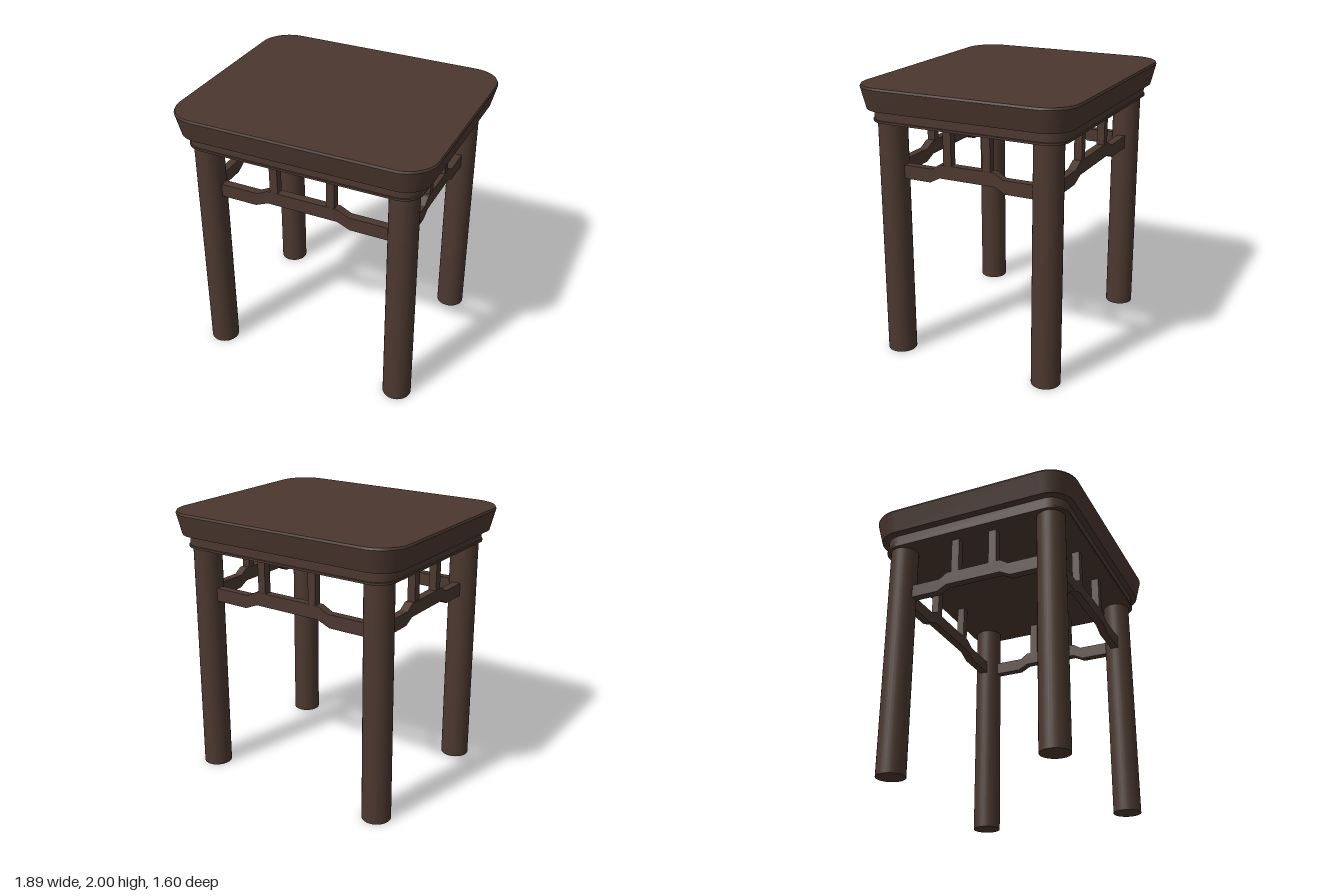
import * as THREE from 'three';
import { toCreasedNormals } from 'three/addons/utils/BufferGeometryUtils.js';

// Rounded-rectangle outline, counter-clockwise seen from above
function ring(y, hx, hz, r, steps = 10) {
  const pts = [];
  const corners = [[1, 1], [-1, 1], [-1, -1], [1, -1]];
  corners.forEach(([sx, sz], c) => {
    for (let i = 0; i <= steps; i++) {
      const a = (c + i / steps) * Math.PI / 2;
      pts.push([sx * (hx - r) + r * Math.cos(a), y, -(sz * (hz - r) + r * Math.sin(a))]);
    }
  });
  return pts;
}

// Solid lofted through rounded rectangles, listed from bottom to top
function loft(levels) {
  const rings = levels.map((l) => ring(...l));
  const n = rings[0].length;
  const pos = rings.flat(2);
  const index = [];
  for (let k = 0; k < rings.length - 1; k++) {
    for (let i = 0; i < n; i++) {
      const j = (i + 1) % n;
      const a = k * n + i, b = k * n + j, c = b + n, d = a + n;
      index.push(a, b, c, a, c, d);
    }
  }
  // Caps as fans around a centre point
  const low = pos.length / 3, high = low + 1, last = (rings.length - 1) * n;
  pos.push(0, levels[0][0], 0, 0, levels[levels.length - 1][0], 0);
  for (let i = 0; i < n; i++) {
    const j = (i + 1) % n;
    index.push(low, j, i, high, last + i, last + j);
  }
  const g = new THREE.BufferGeometry();
  g.setAttribute('position', new THREE.Float32BufferAttribute(pos, 3));
  g.setIndex(index);
  return toCreasedNormals(g, 0.5);
}

export function createModel() {
  const model = new THREE.Group();
  model.name = 'stool';
  const wood = new THREE.MeshStandardMaterial({ color: 0x4b382f });
  wood.name = 'dark wood';

  const add = (parent, name, geometry, x = 0, y = 0, z = 0) => {
    const mesh = new THREE.Mesh(geometry, wood);
    mesh.name = name;
    mesh.position.set(x, y, z);
    parent.add(mesh);
    return mesh;
  };

  // Seat slab flaring outward to the top
  add(model, 'seat', loft([
    [1.83, 0.905, 0.762, 0.18],
    [1.985, 0.945, 0.8, 0.22],
    [2.0, 0.938, 0.793, 0.215],
  ]));

  // Apron with a small lip along its lower edge
  add(model, 'apron', loft([
    [1.74, 0.855, 0.725, 0.14],
    [1.755, 0.855, 0.725, 0.14],
    [1.757, 0.848, 0.718, 0.135],
    [1.83, 0.848, 0.718, 0.135],
  ]));

  // Round legs, splayed slightly along x
  const legX = 0.728, legZ = 0.588, splay = 0.008;
  for (const sx of [-1, 1]) {
    for (const sz of [-1, 1]) {
      const g = new THREE.CylinderGeometry(0.102, 0.104, 1.75, 32);
      const p = g.attributes.position;
      for (let i = 0; i < p.count; i++) {
        if (p.getY(i) < 0) p.setX(i, p.getX(i) + sx * splay);
      }
      add(model, (sz > 0 ? 'front' : 'back') + (sx > 0 ? 'Left' : 'Right') + 'Leg',
        g, sx * legX, 0.875, sz * legZ);
    }
  }

  // Raised-centre rail with two short struts up to the apron
  const depth = 0.06;
  function railing(name, half, inner, outer, strut) {
    const group = new THREE.Group();
    group.name = name;
    const shape = new THREE.Shape([
      [-half, 1.34], [-outer, 1.34], [-inner, 1.38], [inner, 1.38], [outer, 1.34], [half, 1.34],
      [half, 1.437], [outer - 0.015, 1.437], [inner, 1.477],
      [-inner, 1.477], [-outer + 0.015, 1.437], [-half, 1.437],
    ].map(([x, y]) => new THREE.Vector2(x, y)));
    const g = new THREE.ExtrudeGeometry(shape, { depth, bevelEnabled: false });
    add(group, 'rail', g, 0, 0, -depth / 2);
    for (const s of [-1, 1]) {
      add(group, 'strut', new THREE.BoxGeometry(0.06, 0.28, 0.058), s * strut, 1.605, 0);
    }
    model.add(group);
    return group;
  }
  for (const s of [-1, 1]) {
    railing(s > 0 ? 'frontRailing' : 'backRailing', 0.68, 0.265, 0.36, 0.214).position.z = s * legZ;
    const side = railing(s > 0 ? 'leftRailing' : 'rightRailing', 0.54, 0.21, 0.285, 0.148);
    side.position.x = s * legX;
    side.rotation.y = Math.PI / 2;
  }

  return model;
}
